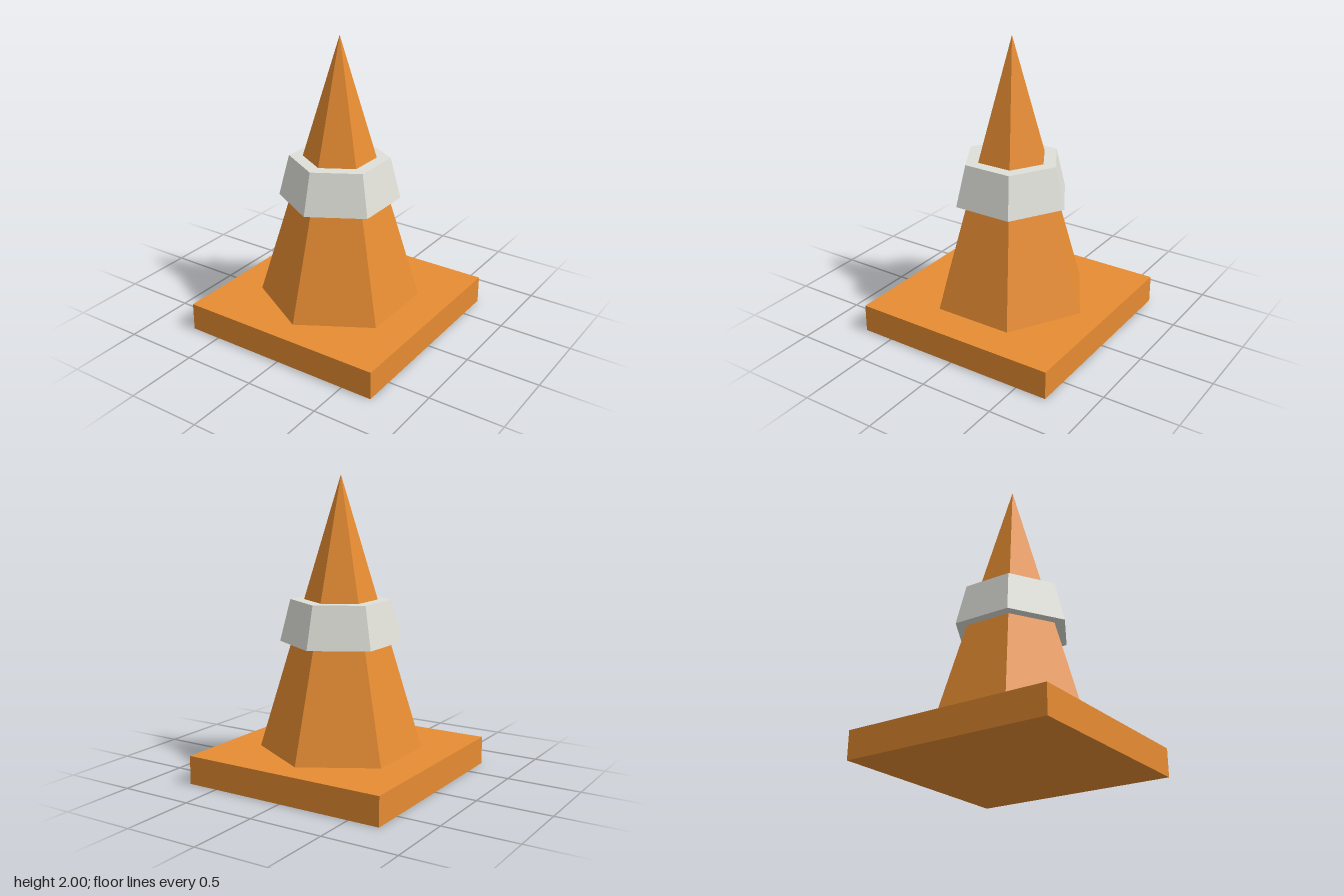
import * as THREE from 'three';

const SIDES = 6;

export function createModel() {
  const model = new THREE.Group();
  model.name = 'trafficCone';

  const orange = new THREE.MeshStandardMaterial({ color: 0xe68c32 });
  orange.name = 'orange';
  const paleGrey = new THREE.MeshStandardMaterial({ color: 0xe0e0d9 });
  paleGrey.name = 'paleGrey';
  orange.flatShading = paleGrey.flatShading = true;

  // Adds a part whose underside rests at the given height
  const addPart = (name, geometry, material, bottom, height) => {
    const mesh = new THREE.Mesh(geometry, material);
    mesh.name = name;
    mesh.position.y = bottom + height / 2;
    model.add(mesh);
  };

  // Square foot plate
  addPart('base', new THREE.BoxGeometry(1.426, 0.19, 1.426), orange, 0, 0.19);

  // Six-sided pointed body, with corners on the z axis
  addPart('coneBody', new THREE.ConeGeometry(0.541, 1.81, SIDES), orange, 0.19, 1.81);

  // Tapered collar standing proud of the body
  addPart('reflectiveBand', new THREE.CylinderGeometry(0.333, 0.403, 0.28, SIDES), paleGrey, 0.91, 0.28);

  return model;
}
